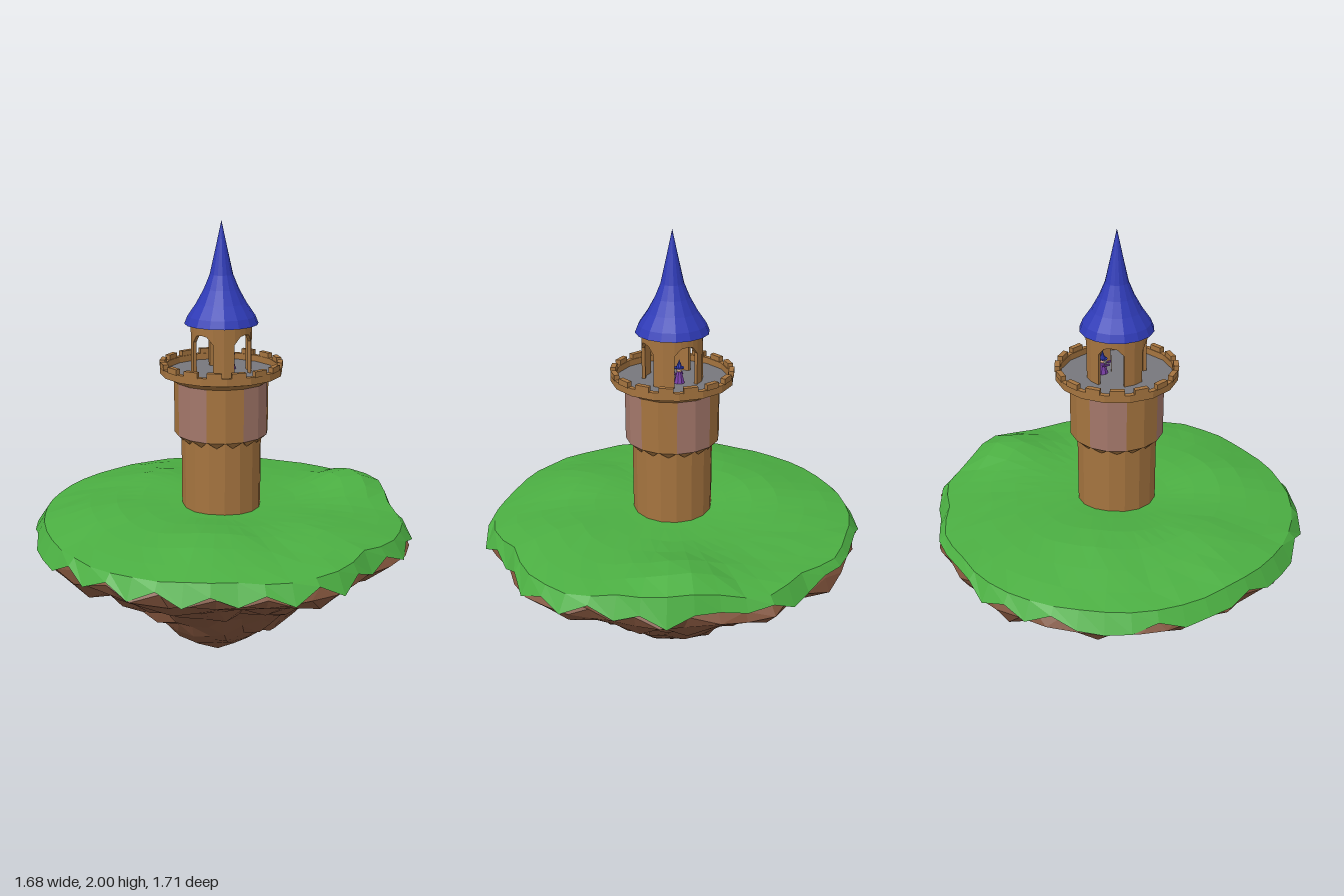
import * as THREE from 'three';
import { mergeVertices } from 'three/addons/utils/BufferGeometryUtils.js';

const TAU = Math.PI * 2;
const mat = (color) => new THREE.MeshStandardMaterial({ color, flatShading: true, side: THREE.DoubleSide });
const GRASS = mat(0x4bae42), ROCK = mat(0x7f523b), WOOD = mat(0xa5743f), PANEL = mat(0xa3776a);
const FLOOR = mat(0x77777c), ROOF = mat(0x2f3bb8), ROBE = mat(0x7a3fa8), SKIN = mat(0xe0b090), WHITE = mat(0xeeeeee);

// repeatable noise in -1..1 for whole numbers
function noise(i, j) {
  let h = (Math.imul(i + 7, 374761393) + Math.imul(j + 3, 668265263)) | 0;
  h = Math.imul(h ^ (h >>> 13), 1274126177);
  return ((h ^ (h >>> 16)) >>> 0) / 2147483648 - 1;
}

function add(parent, name, geometry, material, x = 0, y = 0, z = 0) {
  const mesh = new THREE.Mesh(geometry, material);
  mesh.name = name;
  mesh.position.set(x, y, z);
  parent.add(mesh);
  return mesh;
}

function indexed(points, index) {
  const g = new THREE.BufferGeometry();
  g.setAttribute('position', new THREE.Float32BufferAttribute(points, 3));
  g.setIndex(index);
  g.computeVertexNormals();
  return g;
}

// closed rings of n points, joined row to row; at(row, k) gives [x, y, z]
function ringSurface(rows, n, at) {
  const p = [], idx = [];
  for (let i = 0; i < rows; i++) for (let k = 0; k < n; k++) p.push(...at(i, k));
  for (let i = 0; i < rows - 1; i++) for (let k = 0; k < n; k++) {
    const a = i * n + k, b = i * n + (k + 1) % n;
    idx.push(a, b, a + n, b, b + n, a + n);
  }
  return indexed(p, idx);
}

// thick wall following an arc; bottom(angle) may vary
function bentWall(a0, a1, steps, rIn, rOut, bottom, top) {
  const p = [], idx = [];
  for (let i = 0; i <= steps; i++) {
    const a = a0 + (a1 - a0) * i / steps;
    const yb = typeof bottom === 'function' ? bottom(a) : bottom;
    for (const [r, y] of [[rOut, yb], [rOut, top], [rIn, top], [rIn, yb]])
      p.push(Math.sin(a) * r, y, Math.cos(a) * r);
  }
  for (let i = 0; i < steps; i++) for (let k = 0; k < 4; k++) {
    const a = i * 4 + k, b = i * 4 + (k + 1) % 4;
    idx.push(a, a + 4, b, a + 4, b + 4, b);
  }
  const e = steps * 4;
  idx.push(0, 1, 2, 0, 2, 3, e, e + 2, e + 1, e, e + 3, e + 2);
  return indexed(p, idx);
}

// island outline, one radius every 15 degrees from +x towards +z
const RIM = [.815, .86, .86, .83, .84, .85, .85, .845, .84, .835, .845, .85,
  .845, .85, .85, .835, .845, .81, .86, .835, .855, .82, .865, .86];
const rim = (a) => {
  const t = (a + TAU) % TAU / TAU * 24, i = Math.floor(t);
  return THREE.MathUtils.lerp(RIM[i % 24], RIM[(i + 1) % 24], t - i);
};

// hills: x, z, height, spread
const HILLS = [[-.4, 0, .045, .17], [.27, .4, .05, .16], [.3, -.61, .08, .14], [-.3, .42, .04, .16], [.55, 0, .025, .16]];
const ground = (x, z) => {
  let y = .74 - .038 * Math.pow(Math.hypot(x, z) / .8, 4);
  for (const [hx, hz, h, s] of HILLS) y += h * Math.exp(-((x - hx) ** 2 + (z - hz) ** 2) / (2 * s * s));
  return y;
};

// turf: rolling top, then a skirt with a ragged hem
function turf() {
  const radii = [0, .14, .28, .42, .56, .7, .83, .945], n = 48;
  return ringSurface(radii.length + 1, n, (i, k) => {
    const a = k / n * TAU, c = Math.cos(a), s = Math.sin(a);
    if (i === radii.length) {
      const low = k % 2 === 0 ? noise(k, 5) > -.6 : noise(k, 6) > .6;
      const r = rim(a) * (low ? 1 : .98);
      return [c * r, (low ? .628 : .668) + .011 * noise(k, 9), s * r];
    }
    const r = rim(a) * radii[i];
    return [c * r, ground(c * r, s * r) + .005 * radii[i] ** 2 * noise(i, k), s * r];
  });
}

// crag: faceted ball whose lower half is remapped to a tapering profile
function crag() {
  const profile = [[0, .005], [.09, .055], [.185, .11], [.26, .175], [.325, .245], [.395, .32],
    [.47, .385], [.56, .45], [.65, .505], [.745, .565], [.835, .625], [.8, .68]];
  const ball = new THREE.IcosahedronGeometry(1, 7);
  ball.deleteAttribute('normal');
  ball.deleteAttribute('uv');
  const g = mergeVertices(ball, 1e-3), pos = g.attributes.position, us = [];
  for (let i = 0; i < pos.count; i++) {
    const u = Math.acos(THREE.MathUtils.clamp(-pos.getY(i), -1, 1)) / (Math.PI / 2);
    us.push(u);
    const t = Math.min(u, 1.1) * 10, k = Math.min(Math.floor(t), 10), f = t - k;
    const [r0, y0] = profile[k], [r1, y1] = profile[k + 1];
    const y = THREE.MathUtils.lerp(y0, y1, f);
    const rough = u < .95 ? 1 : .2;
    const a = Math.atan2(pos.getZ(i), pos.getX(i)) + .03 * rough * noise(i, 3);
    const r = THREE.MathUtils.lerp(r0, r1, f) * rim(a) / .845 * (1 + .06 * rough * noise(i, 1));
    pos.setXYZ(i, Math.cos(a) * r, y + Math.min(.028, y * .2) * rough * noise(i, 2), Math.sin(a) * r);
  }
  const src = g.index.array, keep = [];
  for (let i = 0; i < src.length; i += 3) {
    const tri = [src[i], src[i + 1], src[i + 2]];
    if (tri.some((v) => us[v] < 1.1)) keep.push(...tri);
  }
  g.setIndex(keep);
  g.computeVertexNormals();
  return g;
}

function tower() {
  const g = new THREE.Group();
  g.name = 'tower';
  const S = TAU / 16;
  add(g, 'shaft', new THREE.CylinderGeometry(.177, .177, .38, 16, 1, true), WOOD, 0, .92);

  // drum with a paler panel on each of the four sides
  for (let i = 0; i < 8; i++) {
    const mid = i * S * 2;
    add(g, i % 2 ? 'drumWall' : 'drumPanel', bentWall(mid - S, mid + S, 2, .17, .207, 1.085, 1.325), i % 2 ? WOOD : PANEL);
  }
  // pointed corbels below the drum
  for (let i = 0; i < 16; i++) {
    const a0 = i * S, am = a0 + S / 2, a1 = a0 + S, p = [];
    for (const [a, r, y] of [[a0, .207, 1.087], [a1, .207, 1.087], [am, .175, 1.053], [a0, .175, 1.087], [a1, .175, 1.087]])
      p.push(Math.sin(a) * r, y, Math.cos(a) * r);
    add(g, 'corbel', indexed(p, [0, 2, 1, 0, 3, 2, 1, 2, 4]), WOOD);
  }

  // battlements
  add(g, 'parapetFlare', new THREE.CylinderGeometry(.265, .207, .035, 16, 1, true), WOOD, 0, 1.3375);
  add(g, 'parapet', bentWall(0, TAU, 16, .245, .267, 1.35, 1.383), WOOD);
  for (let i = 0; i < 16; i++)
    add(g, 'merlon', bentWall((i + .2) * S, (i + .8) * S, 1, .245, .268, 1.38, 1.405), WOOD);
  const floor = add(g, 'floor', new THREE.CircleGeometry(.252, 16), FLOOR, 0, 1.355);
  floor.rotation.x = -Math.PI / 2;

  // turret: four curved piers joined by arches
  const half = .43;
  for (let i = 0; i < 4; i++) {
    const mid = i * TAU / 4;
    add(g, 'turretPier', bentWall(mid + half, mid + TAU / 4 - half, 2, .117, .132, 1.355, 1.575), WOOD);
    const arch = (a) => 1.495 + .036 * Math.sqrt(Math.max(0, 1 - ((a - mid) / half) ** 2));
    add(g, 'turretArch', bentWall(mid - half, mid + half, 4, .117, .132, arch, 1.575), WOOD);
  }

  // flared spire
  const spire = [[.16, 1.566], [.146, 1.6], [.108, 1.655], [.075, 1.715], [.05, 1.775], [.025, 1.885], [0, 2]];
  add(g, 'spire', new THREE.LatheGeometry(spire.map(([x, y]) => new THREE.Vector2(x, y)), 16), ROOF);
  g.position.x = .006;
  return g;
}

// tiny robed keeper at the back of the turret, arms held forward
function keeper() {
  const g = new THREE.Group();
  g.name = 'keeper';
  add(g, 'robe', new THREE.CylinderGeometry(.011, .024, .05, 8), ROBE, 0, .025);
  add(g, 'head', new THREE.IcosahedronGeometry(.013, 1), SKIN, 0, .058);
  const beard = add(g, 'beard', new THREE.ConeGeometry(.011, .026, 6), WHITE, 0, .046, .01);
  beard.rotation.x = Math.PI;
  add(g, 'hatBrim', new THREE.CylinderGeometry(.021, .021, .003, 10), ROOF, 0, .067);
  add(g, 'hat', new THREE.ConeGeometry(.014, .036, 8), ROOF, 0, .086);
  for (const s of [-1, 1]) {
    const arm = add(g, 'arm', new THREE.CylinderGeometry(.006, .004, .034, 6), ROBE, s * .017, .043, .017);
    arm.rotation.x = 1.2;
  }
  add(g, 'staff', new THREE.CylinderGeometry(.002, .002, .075, 5), WOOD, .02, .0375, .034);
  g.position.set(.006, 1.355, -.062);
  return g;
}

export function createModel() {
  const model = new THREE.Group();
  model.name = 'towerIsland';
  add(model, 'grass', turf(), GRASS);
  add(model, 'rock', crag(), ROCK);
  model.add(tower(), keeper());
  return model;
}
